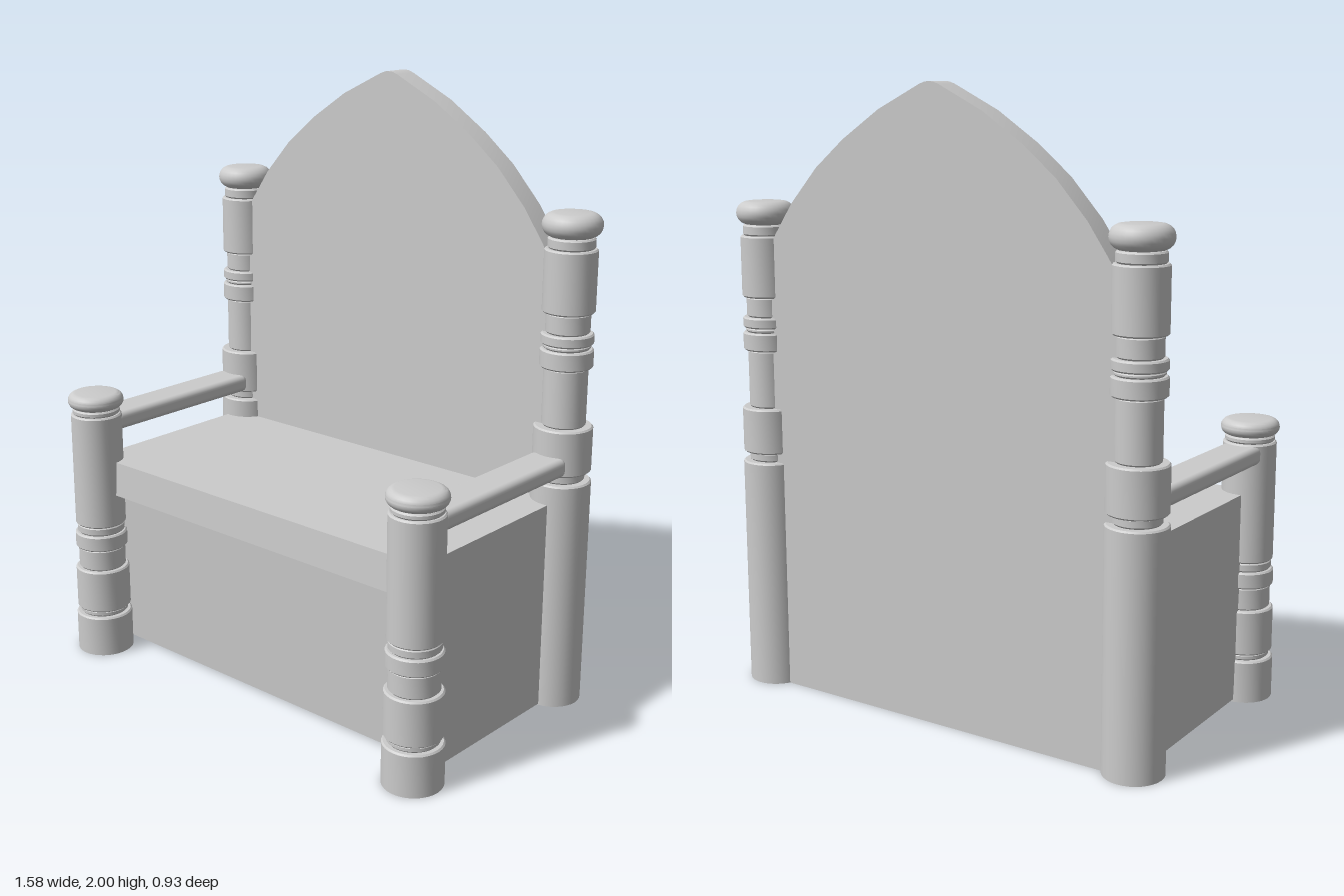
import * as THREE from 'three';
import { toCreasedNormals } from 'three/addons/utils/BufferGeometryUtils.js';
import { RoundedBoxGeometry } from 'three/addons/geometries/RoundedBoxGeometry.js';

const material = new THREE.MeshStandardMaterial({ color: 0xcccccc });
const POST_X = 0.695, FRONT_Z = 0.368, BACK_Z = -0.371;

function addMesh(parent, name, geometry, x = 0, y = 0, z = 0) {
  const mesh = new THREE.Mesh(geometry, material);
  mesh.name = name;
  mesh.position.set(x, y, z);
  parent.add(mesh);
  return mesh;
}

// Turned post: bands are [top height, radius] from the floor up, with a cushion cap
function postGeometry(bands, capTop, capRadius) {
  const points = [new THREE.Vector2(0, 0)];
  const bevel = 0.005;
  let bottom = 0;
  bands.forEach(([top, radius], i) => {
    const first = i === 0;
    points.push(new THREE.Vector2(first ? radius : radius - bevel, bottom));
    if (!first) points.push(new THREE.Vector2(radius, bottom + bevel));
    points.push(new THREE.Vector2(radius, top - bevel), new THREE.Vector2(radius - bevel, top));
    bottom = top;
  });
  const half = (capTop - bottom) / 2;
  for (let i = 0; i <= 10; i++) {
    const a = -Math.PI / 2 + (Math.PI * i) / 10;
    points.push(new THREE.Vector2(capRadius - half + half * Math.cos(a), bottom + half + half * Math.sin(a)));
  }
  points.push(new THREE.Vector2(0, capTop));
  return toCreasedNormals(new THREE.LatheGeometry(points, 32), 0.6);
}

export function createModel() {
  const group = new THREE.Group();
  group.name = 'highBackedChair';

  const frontPost = postGeometry([
    [0.14, 0.096], [0.16, 0.082], [0.31, 0.092], [0.385, 0.08], [0.44, 0.089],
    [0.47, 0.081], [0.865, 0.086], [0.885, 0.08],
  ], 0.937, 0.094);
  const backPost = postGeometry([
    [0.765, 0.096], [0.795, 0.074], [0.945, 0.094], [1.135, 0.07], [1.195, 0.084],
    [1.21, 0.075], [1.245, 0.083], [1.31, 0.07], [1.51, 0.083], [1.545, 0.074],
  ], 1.62, 0.094);

  // Posts and arm rests, mirrored
  for (const [side, s] of [['left', 1], ['right', -1]]) {
    addMesh(group, side + 'FrontPost', frontPost, s * POST_X, 0, FRONT_Z);
    addMesh(group, side + 'BackPost', backPost, s * POST_X, 0, BACK_Z);
    addMesh(group, side + 'ArmRest', new RoundedBoxGeometry(0.13, 0.06, 0.63, 3, 0.02), s * POST_X, 0.83, 0.01);
  }

  // Seat chest: side profile (z, y) with an overhanging seat edge, extruded across
  const profile = new THREE.Shape([
    [-0.37, 0.003], [0.27, 0.01], [0.3, 0.577], [0.368, 0.583], [0.36, 0.7], [-0.37, 0.7],
  ].map(([z, y]) => new THREE.Vector2(z, y)));
  const width = 1.42;
  const chest = new THREE.ExtrudeGeometry(profile, { depth: width, bevelEnabled: false });
  chest.translate(0, 0, -width / 2).rotateY(-Math.PI / 2);
  // the profile's horizontal axis now runs along +z
  addMesh(group, 'seatChest', chest);

  // Back board with a pointed arch
  const edge = [
    [0.66, 0], [0.66, 1.45], [0.615, 1.52], [0.545, 1.62], [0.44, 1.735],
    [0.33, 1.825], [0.19, 1.917], [0.035, 1.992], [0.015, 1.999],
  ];
  const outline = [...edge, [0, 2], ...edge.map(([x, y]) => [-x, y]).reverse()];
  const board = new THREE.ExtrudeGeometry(
    new THREE.Shape(outline.map(([x, y]) => new THREE.Vector2(x, y))),
    { depth: 0.083, bevelEnabled: false });
  addMesh(group, 'backBoard', toCreasedNormals(board, 0.5), 0, 0, -0.414);

  return group;
}
